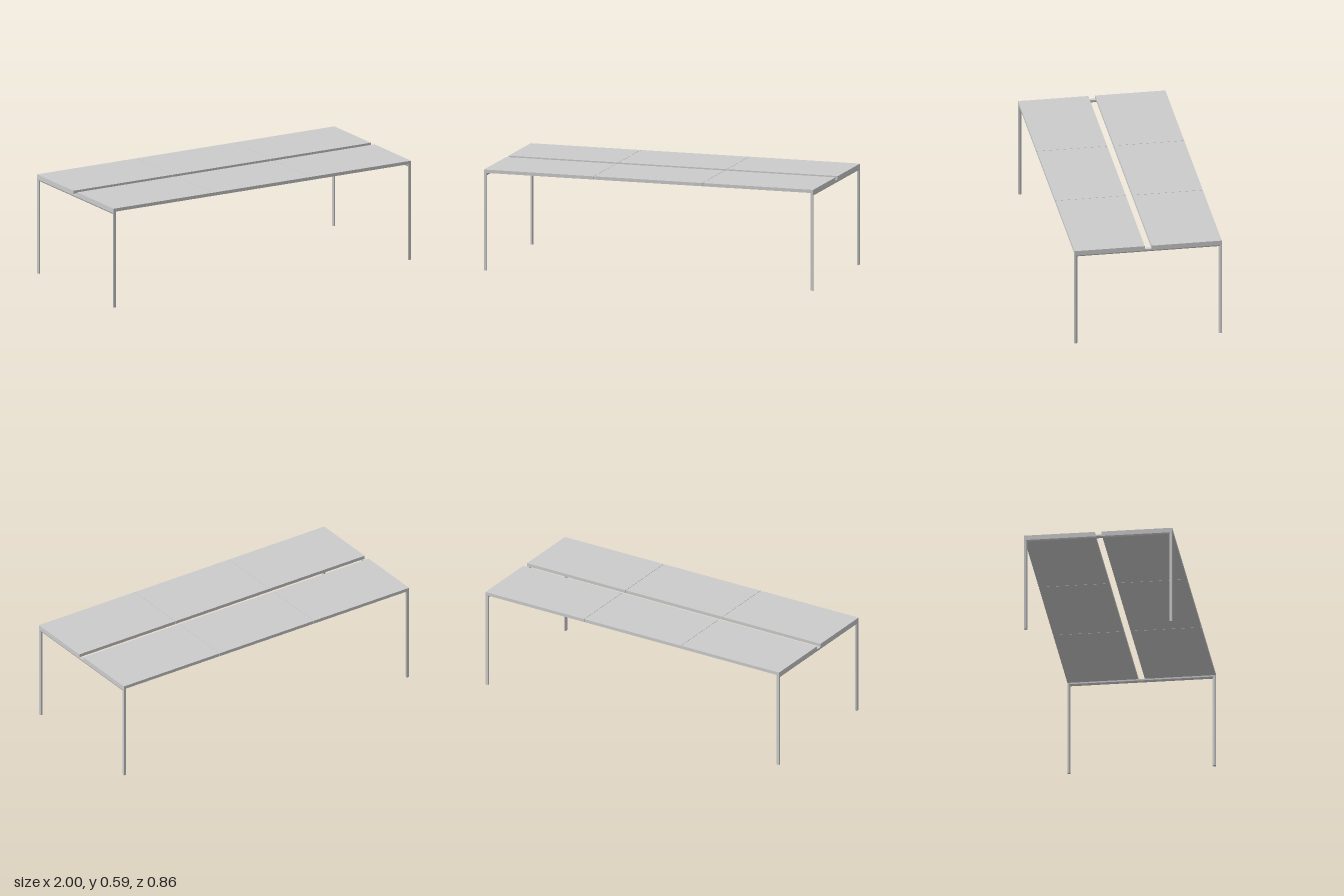
import * as THREE from 'three';

const HALF_Z = 0.43, FRAME_TOP = 0.573, TOP = 0.592, BAR = 0.017;

// Bar cross-section: [across, inset from the outer side], chamfered on the inner side
const PROFILE = [
  [0.0085, 0], [0.0085, 0.009], [0.004, BAR],
  [-0.004, BAR], [-0.0085, 0.009], [-0.0085, 0],
];

// Inverted U with mitred corners: leg, crossbar, leg
function endFrameGeometry() {
  const rings = [0, 1, 2, 3].map((i) => PROFILE.map(([x, d]) => {
    const z = (HALF_Z - d) * (i < 2 ? 1 : -1);
    const y = i === 0 || i === 3 ? 0 : FRAME_TOP - d;
    return [x, y, z];
  }));
  const pos = [];
  const tri = (a, b, c) => pos.push(...a, ...b, ...c);
  const n = PROFILE.length;
  for (let i = 0; i < 3; i++) {
    for (let j = 0; j < n; j++) {
      const k = (j + 1) % n;
      tri(rings[i][j], rings[i][k], rings[i + 1][k]);
      tri(rings[i][j], rings[i + 1][k], rings[i + 1][j]);
    }
  }
  // Feet
  for (let j = 1; j < n - 1; j++) {
    tri(rings[0][0], rings[0][j + 1], rings[0][j]);
    tri(rings[3][0], rings[3][j], rings[3][j + 1]);
  }
  const geometry = new THREE.BufferGeometry();
  geometry.setAttribute('position', new THREE.Float32BufferAttribute(pos, 3));
  geometry.computeVertexNormals();
  return geometry;
}

export function createModel() {
  const group = new THREE.Group();
  group.name = 'benchDesk';
  const material = new THREE.MeshStandardMaterial({ color: 0xcccccc });

  // End frames
  const frame = endFrameGeometry();
  for (const [side, name] of [[1, 'leftEndFrame'], [-1, 'rightEndFrame']]) {
    const mesh = new THREE.Mesh(frame, material);
    mesh.name = name;
    mesh.position.x = side * 0.9915;
    group.add(mesh);
  }

  // Two rows of three desktop panels with a cable gap between the rows
  const seams = [-1, -0.332, 0.327, 1];
  const gap = 0.002, inner = 0.02;
  for (const [side, row] of [[1, 'front'], [-1, 'back']]) {
    for (let i = 0; i < 3; i++) {
      const x0 = seams[i] + (i > 0 ? gap / 2 : 0);
      const x1 = seams[i + 1] - (i < 2 ? gap / 2 : 0);
      const panel = new THREE.Mesh(
        new THREE.BoxGeometry(x1 - x0, TOP - FRAME_TOP, HALF_Z - inner), material);
      panel.name = `${row}Desktop${i + 1}`;
      panel.position.set((x0 + x1) / 2, (TOP + FRAME_TOP) / 2, side * (HALF_Z + inner) / 2);
      group.add(panel);
    }
  }
  return group;
}
